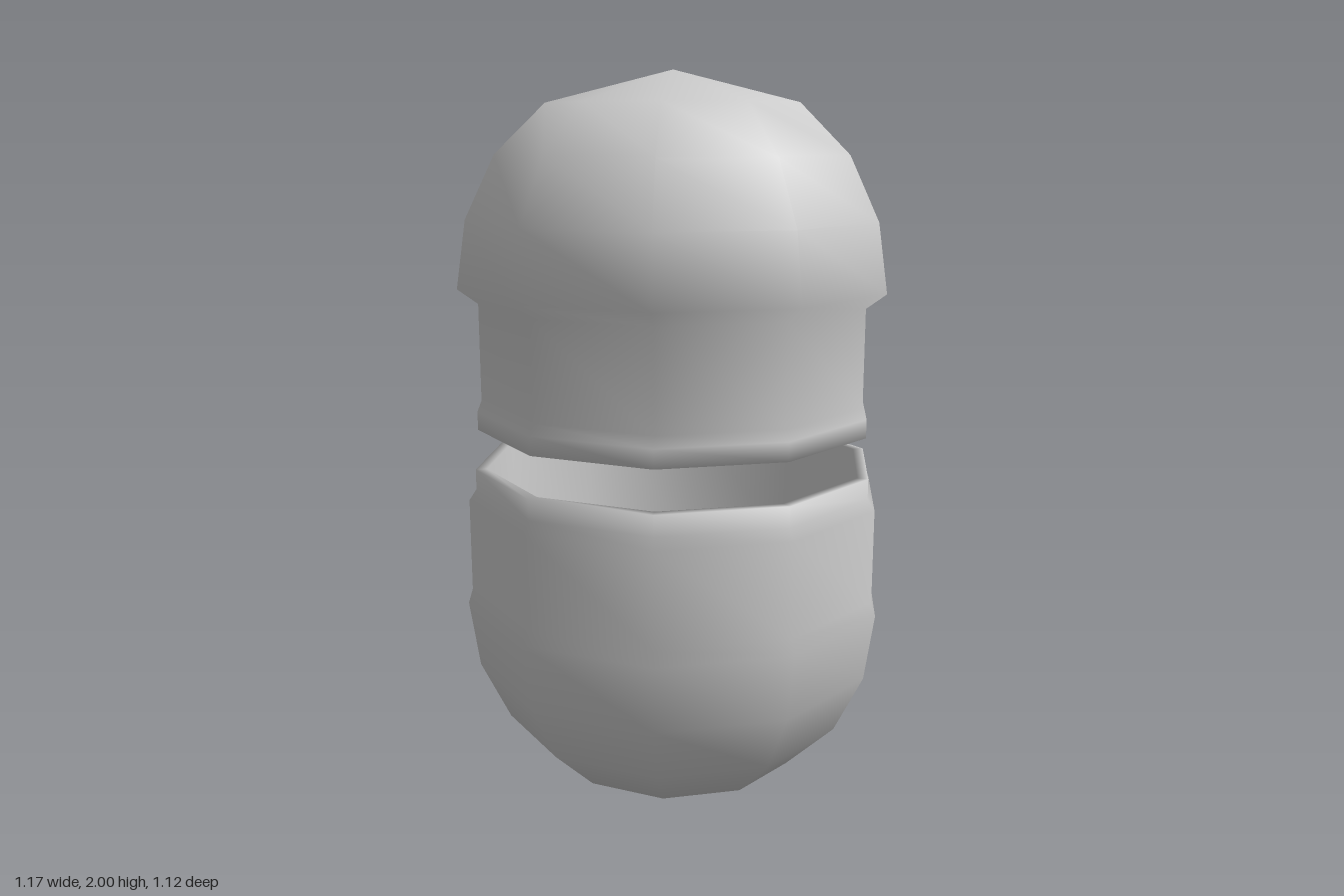
import * as THREE from 'three';
import { mergeVertices } from 'three/addons/utils/BufferGeometryUtils.js';

const SIDES = 10;

// Turns a wall profile into a ten-sided shell with one smooth skin.
function shell(name, profile, poleZ) {
  const points = profile.map(([r, y]) => new THREE.Vector2(r, y));
  let geometry = new THREE.LatheGeometry(points, SIDES, Math.PI / 2);
  geometry.deleteAttribute('uv');
  geometry.deleteAttribute('normal');
  // the poles sit slightly off the axis
  const pos = geometry.attributes.position;
  for (let i = 0; i < pos.count; i++) {
    if (Math.hypot(pos.getX(i), pos.getZ(i)) < 1e-6) pos.setXYZ(i, 0, pos.getY(i), poleZ);
  }
  geometry = mergeVertices(geometry, 1e-4);
  geometry.computeVertexNormals();
  const mesh = new THREE.Mesh(geometry, new THREE.MeshStandardMaterial({ color: 0xcccccc }));
  mesh.name = name;
  return mesh;
}

export function createModel() {
  const group = new THREE.Group();
  group.name = 'capsule';

  // Lower half: outer bowl up to the rim, then down the inside
  group.add(shell('lowerShell', [
    [0, 0], [0.345, 0.09], [0.48, 0.22], [0.56, 0.385], [0.587, 0.57],
    [0.575, 0.61], [0.575, 0.865], [0.555, 0.895], [0.555, 0.95],
    [0.525, 0.95], [0.525, 0.57], [0.5, 0.4], [0.43, 0.255], [0.31, 0.14], [0, 0.06],
  ], -0.015));

  // Upper half: down the inside to the rim, then up the neck and over the domed cap
  group.add(shell('upperShell', [
    [0, 1.94], [0.31, 1.86], [0.42, 1.75], [0.48, 1.6], [0.5, 1.44], [0.51, 1.06],
    [0.545, 1.06], [0.545, 1.11], [0.533, 1.14], [0.533, 1.4],
    [0.587, 1.44], [0.56, 1.62], [0.48, 1.785], [0.345, 1.915], [0, 2],
  ], 0.015));

  return group;
}
